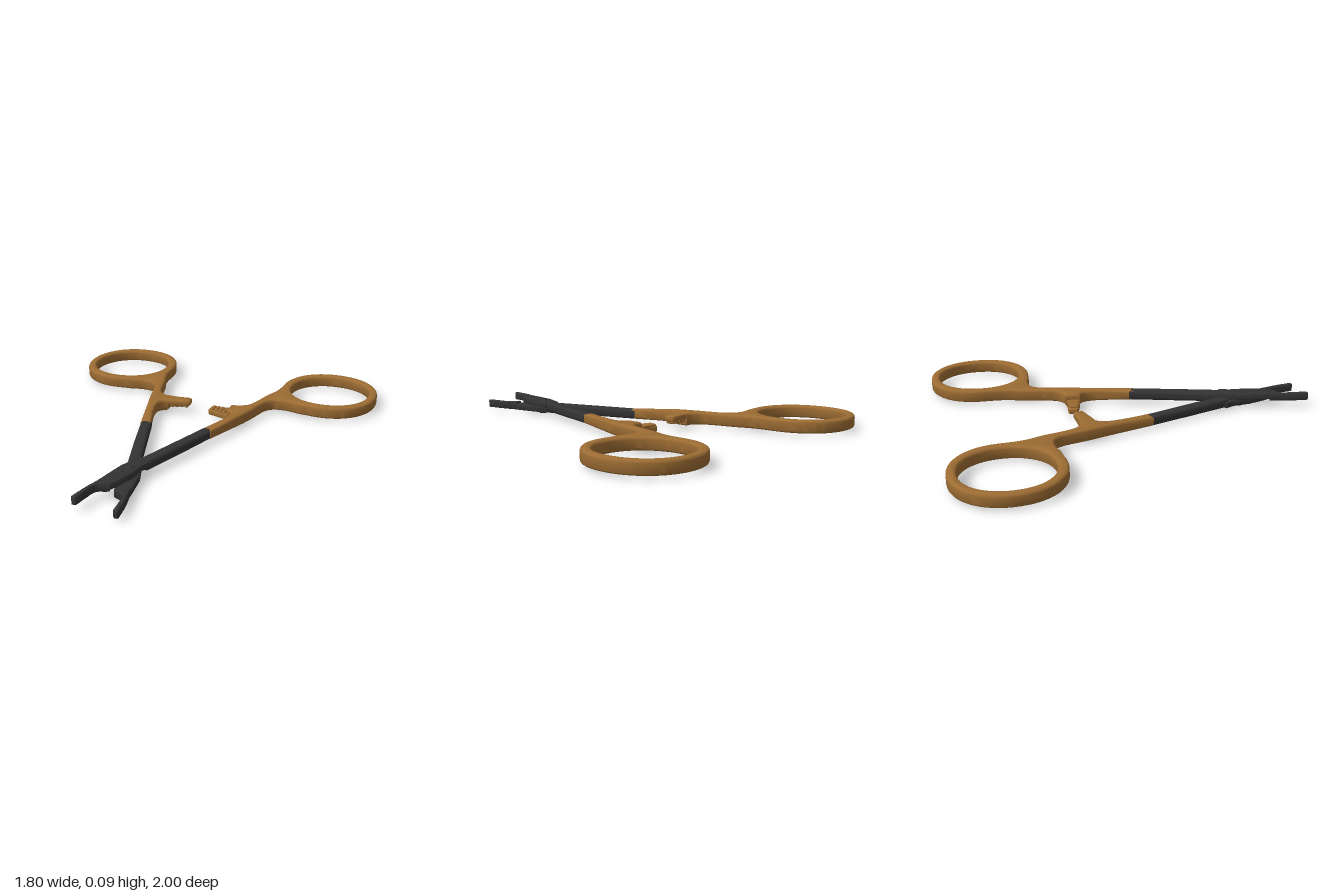
import * as THREE from 'three';
import { toCreasedNormals } from 'three/addons/utils/BufferGeometryUtils.js';

const brown = new THREE.MeshStandardMaterial({ color: 0x9c6c33 });
const dark = new THREE.MeshStandardMaterial({ color: 0x333333 });
const PIVOT = [-0.025, 0.635];
const OPENING = 0.037;

// Plan points [x, z] of the -x arm; the other arm is mirrored about the pivot and opened slightly.
function mapPoint([x, z], mirrored) {
  if (!mirrored) return new THREE.Vector2(x, -z);
  const rx = PIVOT[0] - x, rz = z - PIVOT[1], c = Math.cos(OPENING), s = Math.sin(OPENING);
  return new THREE.Vector2(PIVOT[0] + c * rx - s * rz, -(PIVOT[1] + s * rx + c * rz));
}

// Mapped outline, always counter-clockwise
function mapOutline(points, mirrored) {
  const mapped = points.map(p => mapPoint(p, mirrored));
  return THREE.ShapeUtils.isClockWise(mapped) ? mapped.reverse() : mapped;
}

// Smooth run of plan points
function smooth(points, n) {
  const curve = new THREE.CatmullRomCurve3(points.map(([x, z]) => new THREE.Vector3(x, 0, z)), false, 'centripetal');
  return curve.getPoints(n).map(p => [p.x, p.z]);
}

// Slightly squarish oval
function oval(cx, cz, rx, rz, from, to, n) {
  const soft = v => Math.sign(v) * Math.abs(v) ** 0.95;
  return Array.from({ length: n }, (_, i) => {
    const t = THREE.MathUtils.degToRad(from + (to - from) * i / (n - 1));
    return [cx + rx * soft(Math.cos(t)), cz + rz * soft(Math.sin(t))];
  });
}

// Flat part with rounded edges, from a plan outline and a height range
function plate(name, outline, y0, y1, bevel, material, mirrored, hole, warp) {
  const shape = new THREE.Shape(mapOutline(outline, mirrored));
  if (hole) shape.holes.push(new THREE.Path(mapOutline(hole, mirrored).reverse()));
  const geo = new THREE.ExtrudeGeometry(shape, {
    depth: y1 - y0 - 2 * bevel, steps: 1, curveSegments: 1,
    bevelSize: bevel, bevelThickness: bevel, bevelOffset: -bevel, bevelSegments: 4
  });
  geo.rotateX(-Math.PI / 2).translate(0, y0 + bevel, 0);
  if (warp) {
    const p = geo.attributes.position;
    for (let i = 0; i < p.count; i++) p.setY(i, warp(p.getY(i), p.getZ(i)));
  }
  const mesh = new THREE.Mesh(toCreasedNormals(geo, 0.7), material);
  mesh.name = name;
  return mesh;
}

function buildArm(mirrored) {
  const arm = new THREE.Group();
  arm.name = mirrored ? 'leftArm' : 'rightArm';
  const BOTTOM = 0.012, TOP = 0.08, MID = 0.046;
  // Heights for the lower arm, flipped for the upper one
  const range = (a, b) => mirrored ? [BOTTOM + TOP - b, BOTTOM + TOP - a] : [a, b];
  const add = (name, outline, a, b, bevel, material, hole, warp) =>
    arm.add(plate(name, outline, ...range(a, b), bevel, material, mirrored, hole, warp));

  // The shank thins evenly towards the joint
  const thin = (y, z) => {
    const k = 1 - 0.22 * THREE.MathUtils.clamp((z + 0.19) / 0.27, 0, 1);
    return mirrored ? TOP - (TOP - y) * k : BOTTOM + (y - BOTTOM) * k;
  };

  // Finger ring, neck and handle shank in one piece
  const handle = [
    ...oval(-0.627, -0.725, 0.271, 0.275, 80, 362, 56),
    ...smooth([[-0.355, -0.66], [-0.347, -0.6], [-0.318, -0.513], [-0.291, -0.397], [-0.265, -0.333], [-0.222, -0.302]], 20),
    [-0.185, -0.302], [-0.185, -0.222],
    ...smooth([[-0.205, -0.215], [-0.222, -0.19], [-0.222, -0.132], [-0.159, 0.077]], 16),
    [-0.215, 0.087],
    ...smooth([[-0.285, -0.18], [-0.313, -0.28], [-0.349, -0.423], [-0.381, -0.46], [-0.444, -0.472], [-0.52, -0.458]], 24)
  ];
  const hole = oval(-0.63, -0.728, 0.222, 0.225, 0, 354, 60);
  add('fingerRingHandle', handle, BOTTOM, TOP, 0.015, brown, hole, thin);

  // Ratchet bar with locking teeth on the facing side
  add('ratchetBar', [[-0.24, -0.3], [-0.15, -0.298], [-0.078, -0.305], [-0.068, -0.298], [-0.063, -0.262],
    [-0.07, -0.251], [-0.15, -0.229], [-0.24, -0.21]], MID, 0.078, 0.008, brown);
  for (let i = 0; i < 4; i++) {
    const x = -0.078 - i * 0.025, z = -0.255 + i * 0.007;
    add('ratchetTooth', [[x, -0.3], [x + 0.004, z], [x - 0.018, z + 0.004], [x - 0.022, -0.297]],
      0.034, 0.06, 0.0085, brown);
  }

  // Dark shank, its end set into the handle
  add('shank', [[-0.222, 0.057], [-0.166, 0.047], [-0.09, 0.295], [-0.018, 0.53], [-0.075, 0.555], [-0.147, 0.32]],
    BOTTOM, 0.065, 0.016, dark);

  // Half-thickness crossing plate
  add('jointPlate', [[-0.09, 0.538], [-0.022, 0.505], [0, 0.56], [0.025, 0.63], [0.042, 0.74], [0.05, 0.8],
    [0.037, 0.846], [-0.018, 0.822], [-0.034, 0.785], [-0.06, 0.69], [-0.068, 0.59]], BOTTOM, MID, 0.005, dark);

  // Gently curved jaw
  add('jaw', [...smooth([[0.048, 0.785], [0.055, 0.82], [0.071, 0.89], [0.085, 0.99]], 10), [0.08, 0.997],
    [0.063, 0.997], ...smooth([[0.058, 0.99], [0.05, 0.91], [0.036, 0.848], [0, 0.831], [-0.018, 0.82]], 12)],
  BOTTOM, 0.056, 0.007, dark);
  return arm;
}

export function createModel() {
  const group = new THREE.Group();
  group.name = 'lockingForceps';
  group.add(buildArm(false), buildArm(true));

  // Pivot rivet with low domed ends
  const profile = [[0, 0], [0.016, 0.001], [0.024, 0.006], [0.026, 0.012], [0.026, 0.076], [0.024, 0.082], [0.016, 0.087], [0, 0.088]];
  const rivet = new THREE.Mesh(new THREE.LatheGeometry(profile.map(p => new THREE.Vector2(...p)), 24), dark);
  rivet.name = 'pivotRivet';
  rivet.position.set(PIVOT[0], 0, PIVOT[1]);
  group.add(rivet);
  return group;
}
